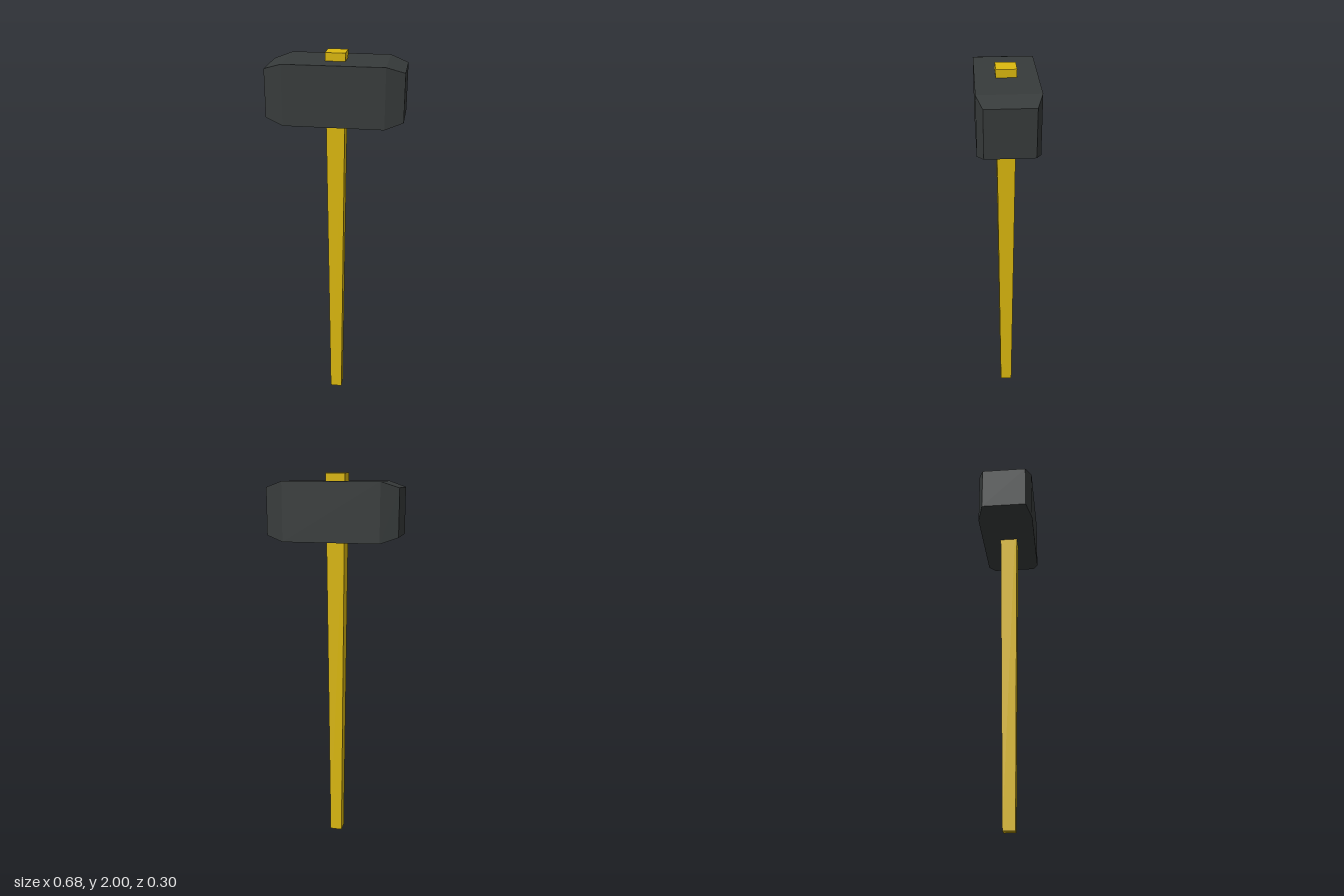
import * as THREE from 'three';

const HEAD_Y = 1.81;

function createHead() {
  // Box with three sections along x; the outer rings shrink into chamfered ends
  const geo = new THREE.BoxGeometry(0.68, 0.3, 0.3, 3, 1, 1);
  const pos = geo.attributes.position;
  for (let i = 0; i < pos.count; i++) {
    const x = pos.getX(i);
    const isEnd = Math.abs(x) > 0.3;
    pos.setX(i, Math.sign(x) * (isEnd ? 0.34 : 0.25));
    if (isEnd) {
      pos.setY(i, pos.getY(i) * 0.8);
      pos.setZ(i, pos.getZ(i) * 0.8);
    }
  }
  geo.computeVertexNormals();
  const head = new THREE.Mesh(geo, new THREE.MeshStandardMaterial({ color: 0x373b3b, flatShading: true }));
  head.name = 'hammerHead';
  head.position.y = HEAD_Y;
  return head;
}

function createHandle() {
  // Square shaft, narrower at the bottom, passing right through the head
  const geo = new THREE.BoxGeometry(0.1, 2, 0.1);
  const pos = geo.attributes.position;
  for (let i = 0; i < pos.count; i++) {
    if (pos.getY(i) < 0) {
      pos.setX(i, pos.getX(i) * 0.64);
      pos.setZ(i, pos.getZ(i) * 0.64);
    }
  }
  geo.computeVertexNormals();
  const handle = new THREE.Mesh(geo, new THREE.MeshStandardMaterial({ color: 0xdcb90f, flatShading: true }));
  handle.name = 'handle';
  handle.position.set(-0.003, 1, 0);
  return handle;
}

export function createModel() {
  const model = new THREE.Group();
  model.name = 'sledgehammer';
  model.add(createHead(), createHandle());
  return model;
}
